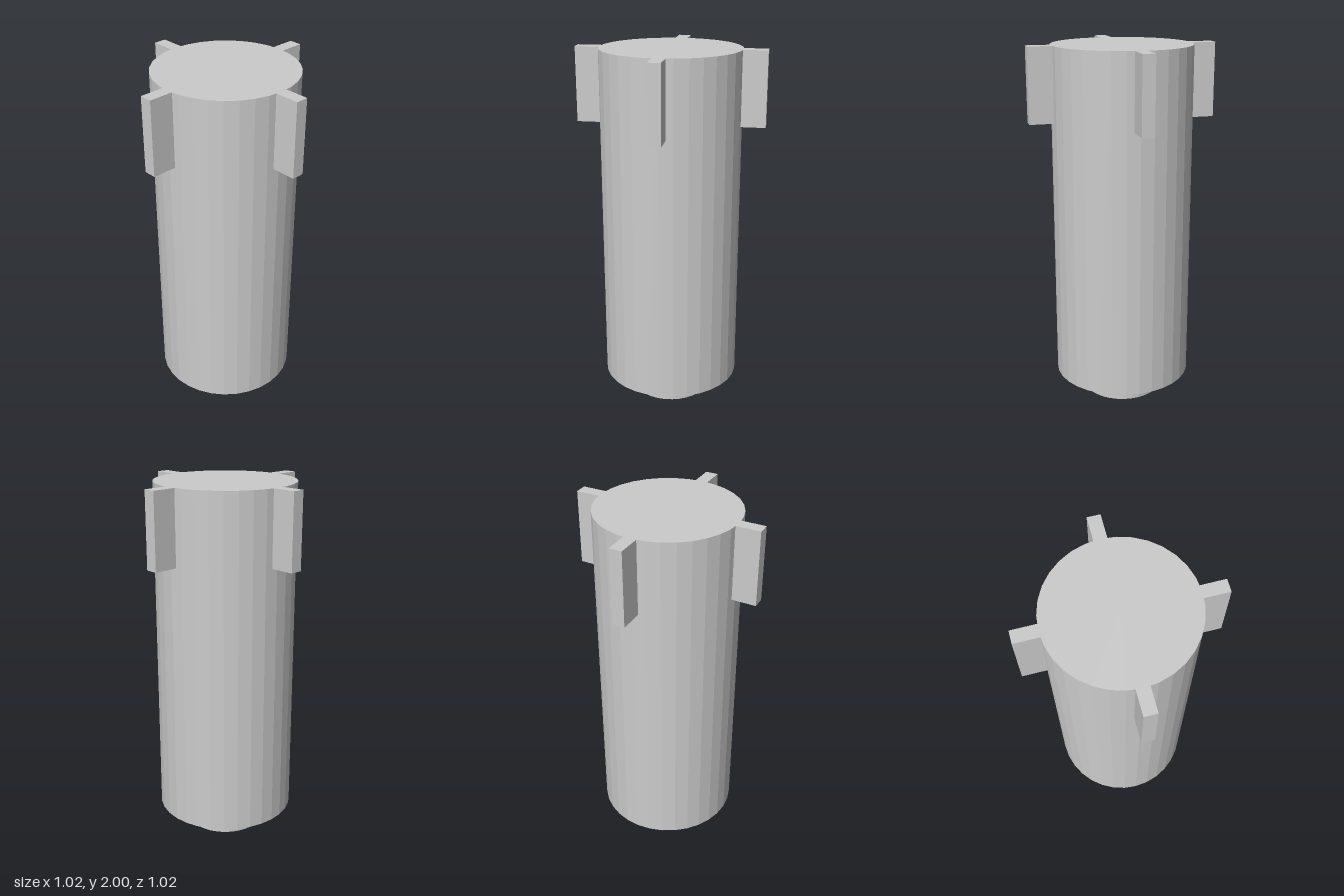
import * as THREE from 'three';

const SIDES = 32;

export function createModel() {
  const group = new THREE.Group();
  const material = new THREE.MeshStandardMaterial({ color: 0xcccccc, flatShading: true });

  function add(name, geometry) {
    const mesh = new THREE.Mesh(geometry, material);
    mesh.name = name;
    group.add(mesh);
    return mesh;
  }

  // Faceted cylinder between two heights
  function drum(name, radius, y0, y1) {
    const mesh = add(name, new THREE.CylinderGeometry(radius, radius, y1 - y0, SIDES));
    mesh.position.y = (y0 + y1) / 2;
  }

  drum('body', 0.383, 0.12, 2);
  drum('baseStub', 0.22, 0, 0.12);

  // Four upright fins around the top, sunk slightly into the body
  const inner = 0.36, outer = 0.512, bottom = 1.595, top = 2;
  const finGeometry = new THREE.BoxGeometry(outer - inner, top - bottom, 0.068);
  finGeometry.translate((inner + outer) / 2, (bottom + top) / 2, 0);
  ['leftFin', 'backFin', 'rightFin', 'frontFin'].forEach((name, i) => {
    add(name, finGeometry).rotation.y = i * Math.PI / 2;
  });

  return group;
}
